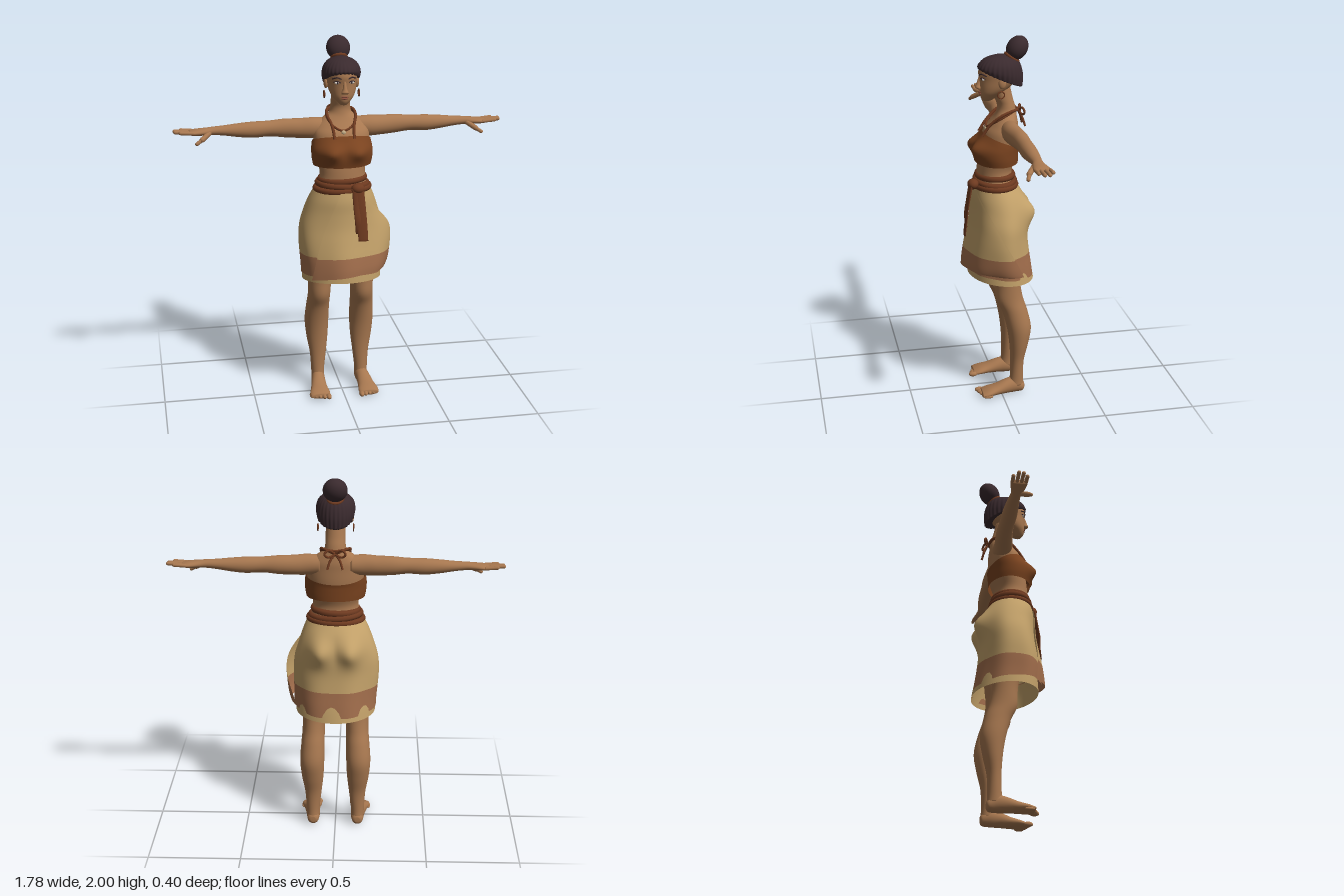
import * as THREE from 'three';

const V = (x, y, z) => new THREE.Vector3(x, y, z);
const bump = (v, mid, width) => Math.exp(-(((v - mid) / width) ** 2));

// Smooth interpolation through rows of numbers
function sample(rows, u) {
  const n = rows.length - 1, i = Math.min(Math.floor(u), n - 1), k = u - i;
  const [p, q, r, s] = [-1, 0, 1, 2].map(d => rows[Math.min(n, Math.max(0, i + d))]);
  return q.map((_, j) => q[j] + 0.5 * k * (r[j] - p[j] + k * (2 * p[j] - 5 * q[j] + 4 * r[j] - s[j]
    + k * (3 * (q[j] - r[j]) + s[j] - p[j]))));
}

// Elliptic sections [t, centreA, centreB, radiusA, radiusB] swept along one axis
function loft(rows, { axis = 'y', seg = 32, per = 5, u0 = 0, u1 = rows.length - 1, arc, deform, caps = true } = {}) {
  const pos = [], idx = [], steps = Math.round((u1 - u0) * per), cols = arc ? seg + 1 : seg;
  const flip = (axis !== 'y') !== (rows[rows.length - 1][0] < rows[0][0]);
  const tri = (a, b, c) => flip ? idx.push(a, c, b) : idx.push(a, b, c);
  for (let i = 0; i <= steps; i++) {
    const [t, a, b, ra, rb] = sample(rows, u0 + (u1 - u0) * i / steps);
    const [from, to] = arc ? arc(t) : [0, Math.PI * 2];
    for (let j = 0; j < cols; j++) {
      const th = from + (to - from) * j / seg;
      const A = a + ra * Math.cos(th), B = b + rb * Math.sin(th);
      const p = axis === 'y' ? V(A, t, B) : axis === 'x' ? V(t, A, B) : V(A, B, t);
      if (deform) deform(p, th);
      pos.push(p.x, p.y, p.z);
    }
  }
  for (let i = 0; i < steps; i++) for (let j = 0; j < seg; j++) {
    const k = arc ? j + 1 : (j + 1) % seg, a = i * cols + j, b = i * cols + k;
    tri(a, a + cols, b);
    tri(b, a + cols, b + cols);
  }
  if (caps && !arc) for (const end of [0, steps]) {
    const c = V(0, 0, 0), id = pos.length / 3;
    for (let j = 0; j < seg; j++) c.add(V(...pos.slice((end * seg + j) * 3, (end * seg + j) * 3 + 3)));
    c.divideScalar(seg);
    pos.push(c.x, c.y, c.z);
    for (let j = 0; j < seg; j++) {
      const a = end * seg + j, b = end * seg + (j + 1) % seg;
      end ? tri(a, id, b) : tri(a, b, id);
    }
  }
  const g = new THREE.BufferGeometry();
  g.setAttribute('position', new THREE.Float32BufferAttribute(pos, 3));
  g.setIndex(idx);
  g.computeVertexNormals();
  return g;
}

const tube = (pts, r, closed = false) =>
  new THREE.TubeGeometry(new THREE.CatmullRomCurve3(pts.map(p => V(...p)), closed), closed ? 64 : 24, r, 8, closed);
const ball = (x, y, z, rx, ry, rz) => new THREE.SphereGeometry(1, 24, 16).scale(rx, ry, rz).translate(x, y, z);
function finger(a, b, r) {
  const d = b.clone().sub(a), g = new THREE.CapsuleGeometry(r, d.length(), 4, 10);
  g.applyQuaternion(new THREE.Quaternion().setFromUnitVectors(V(0, 1, 0), d.clone().normalize()));
  return g.translate((a.x + b.x) / 2, (a.y + b.y) / 2, (a.z + b.z) / 2);
}

export function createModel() {
  const model = new THREE.Group();
  const mat = (name, color, side = THREE.FrontSide) => {
    const m = new THREE.MeshStandardMaterial({ color, side });
    m.name = name;
    return m;
  };
  const both = THREE.DoubleSide;
  const skin = mat('skin', 0xa87850), hair = mat('hair', 0x3a2a2e), top = mat('topCloth', 0x7a431f, both);
  const belt = mat('beltCloth', 0x6e3a20), tan = mat('tanCloth', 0xc4a26a, both), border = mat('borderCloth', 0xa26e4c, both);
  const lip = mat('lips', 0x8c4f3e), white = mat('eyeWhite', 0xd8cfc4), bone = mat('pendant', 0xcbb48c);
  const add = (name, geo, material) => {
    const m = new THREE.Mesh(geo, material);
    m.name = name;
    model.add(m);
    return m;
  };
  const pair = (name, geo, material) => {
    add(name + 'Left', geo, material);
    const g = geo.clone().scale(-1, 1, 1), ix = g.index.array;
    for (let i = 0; i < ix.length; i += 3) [ix[i], ix[i + 1]] = [ix[i + 1], ix[i]];
    add(name + 'Right', g, material);
  };

  // Torso and neck
  add('torso', loft([[1.15, 0, 0, .14, .1], [1.22, 0, .01, .135, .1], [1.29, 0, .015, .122, .093], [1.36, 0, 0, .135, .1],
    [1.43, 0, -.01, .148, .1], [1.5, 0, -.02, .15, .09], [1.54, 0, -.035, .135, .075], [1.575, 0, -.045, .1, .06],
    [1.605, 0, -.05, .062, .052], [1.64, 0, -.048, .053, .047], [1.68, 0, -.035, .052, .048], [1.74, 0, -.02, .05, .05]], { seg: 40 }), skin);

  // Arms and hands
  pair('arm', loft([[.08, 1.525, -.05, .05, .05], [.15, 1.523, -.048, .056, .05], [.22, 1.522, -.055, .053, .048],
    [.3, 1.524, -.062, .05, .044], [.38, 1.525, -.063, .042, .04], [.47, 1.522, -.063, .043, .041], [.55, 1.523, -.063, .036, .037],
    [.62, 1.525, -.062, .027, .031], [.68, 1.526, -.06, .022, .027], [.72, 1.524, -.058, .02, .033],
    [.77, 1.522, -.06, .017, .042], [.805, 1.521, -.06, .011, .042]], { axis: 'x' }), skin);
  [[-.094, .845], [-.072, .88], [-.049, .877], [-.027, .85]].forEach(([z, tip], i) =>
    pair('finger' + (i + 1), finger(V(.785, 1.523, z), V(tip, 1.528, z * 1.05 + .002), .01), skin));
  pair('thumbBase', finger(V(.70, 1.518, -.04), V(.74, 1.492, -.006), .014), skin);
  pair('thumbTip', finger(V(.74, 1.492, -.006), V(.768, 1.474, .004), .01), skin);

  // Legs, feet and toes
  pair('leg', loft([[.05, .125, -.085, .036, .042], [.1, .125, -.087, .037, .037], [.2, .123, -.09, .046, .038],
    [.3, .126, -.098, .06, .052], [.4, .128, -.098, .067, .067], [.5, .124, -.075, .064, .07], [.58, .12, -.045, .062, .075],
    [.68, .117, -.035, .066, .07], [.8, .112, -.03, .078, .085], [.98, .1, -.02, .09, .1]]), skin);
  pair('foot', loft([[-.13, .125, .035, .015, .016], [-.118, .125, .036, .03, .032], [-.08, .125, .046, .037, .046],
    [-.03, .13, .042, .04, .042], [.03, .135, .03, .046, .03], [.08, .138, .022, .056, .022], [.115, .138, .016, .052, .014]],
  { axis: 'z', deform: p => { p.y = Math.max(0, p.y); } }), skin);
  for (let i = 0; i < 5; i++)
    pair('toe' + (i + 1), ball(.094 + .023 * i, .015 - .001 * i, .12 - .009 * i, .015 - .001 * i, .014 - .001 * i, .026), skin);

  // Head and face
  add('head', loft([[1.666, 0, .052, .018, .022], [1.685, 0, .044, .037, .043], [1.71, 0, .03, .058, .062], [1.74, 0, .01, .072, .083],
    [1.78, 0, -.008, .08, .102], [1.82, 0, -.012, .084, .11], [1.86, 0, -.015, .08, .1], [1.89, 0, -.015, .055, .07]], { seg: 40 }), skin);
  add('nose', loft([[1.728, 0, .094, .016, .006], [1.738, 0, .099, .02, .017], [1.755, 0, .097, .012, .014],
    [1.785, 0, .091, .008, .009], [1.802, 0, .09, .007, .004]], { seg: 20 }), skin);
  add('upperLip', ball(0, 1.713, .086, .021, .005, .011), lip);
  add('lowerLip', ball(0, 1.704, .085, .019, .006, .011), lip);
  pair('eye', ball(.037, 1.787, .081, .016, .007, .007), white);
  pair('iris', ball(.037, 1.787, .084, .006, .006, .006), hair);
  pair('upperLid', tube([[.02, 1.788, .09], [.037, 1.796, .086], [.055, 1.789, .07]], .0028), hair);
  pair('eyebrow', tube([[.017, 1.808, .095], [.038, 1.815, .087], [.062, 1.806, .064]], .0035), hair);
  pair('ear', ball(.083, 1.772, -.012, .012, .03, .02), skin);
  pair('earring', new THREE.TorusGeometry(.018, .0035, 8, 24).rotateY(Math.PI / 2).translate(.093, 1.713, -.004), belt);

  // Combed hair and bun
  add('hairCap', loft([[1.785, 0, -.018, .094, .114], [1.82, 0, -.018, .101, .119], [1.86, 0, -.018, .093, .107],
    [1.89, 0, -.02, .066, .078], [1.908, 0, -.022, .02, .022]], {
    seg: 144,
    deform: (p, th) => {
      const w = Math.min(1, Math.max(0, (1.908 - p.y) / .123)), ridge = .0025 * w * Math.cos(28 * th);
      p.y += .43 * w * w * (p.z + .018);
      p.x += ridge * Math.cos(th);
      p.z += ridge * Math.sin(th);
    }
  }), hair);
  const bun = add('hairBun', ball(0, 0, 0, .064, .068, .054), hair);
  bun.position.set(0, 1.938, -.108);
  bun.rotation.x = -.6;
  const tie = add('hairTie', new THREE.TorusGeometry(.038, .009, 8, 32), belt);
  tie.position.set(0, 1.89, -.08);
  tie.rotation.x = Math.PI / 2 - .6;

  // Bandeau top, lower at the back
  add('bandeau', loft([[1.335, 0, .005, .156, .115], [1.38, 0, .008, .163, .119], [1.43, 0, .005, .165, .117],
    [1.47, 0, -.008, .162, .105], [1.5, 0, -.018, .157, .098]], {
    seg: 64, caps: false,
    deform: (p, th) => {
      if (Math.sin(th) > 0) p.z += .034 * bump(Math.abs(p.x), .075, .05) * bump(p.y, 1.42, .045);
      p.y -= .07 * Math.max(0, (p.y - 1.335) / .165) * (.5 - .5 * Math.sin(th));
    }
  }), top);

  // Halter cord, bow and necklace
  pair('halterStrap', tube([[.052, 1.485, .088], [.058, 1.545, .047], [.077, 1.6, -.02], [.058, 1.618, -.085], [0, 1.602, -.114]], .008), belt);
  pair('bowLoop', tube([[0, 1.602, -.116], [.035, 1.625, -.13], [.055, 1.605, -.138], [.035, 1.588, -.132], [0, 1.6, -.118]], .006), belt);
  pair('bowTail', tube([[0, 1.602, -.116], [.025, 1.57, -.132], [.04, 1.525, -.145]], .006), belt);
  add('necklace', tube([[0, 1.525, .058], [.048, 1.545, .042], [.078, 1.59, -.025], [.05, 1.617, -.09], [0, 1.615, -.108],
    [-.05, 1.617, -.09], [-.078, 1.59, -.025], [-.048, 1.545, .042]], .006, true), belt);
  add('necklacePendant', ball(0, 1.517, .062, .012, .012, .007), bone);

  // Wrapped skirt: main wrap, crossing front flap, and lining
  const skirt = [[1.21, 0, .012, .15, .116], [1.15, -.003, 0, .178, .137], [1.08, -.005, -.01, .203, .146], [1, -.005, -.01, .226, .15],
    [.92, -.005, -.005, .232, .158], [.84, -.003, -.003, .229, .17], [.77, 0, -.005, .225, .18], [.72, 0, -.008, .222, .185]];
  const fall = y => Math.min(1, Math.max(0, (1.21 - y) / .49));
  const drape = (p, th) => {
    const w = fall(p.y), wave = .004 * w * Math.cos(7 * th + 1);
    if (Math.sin(th) < 0) p.z -= .046 * bump(Math.abs(p.x), .085, .06) * bump(p.y, 1.06, .07);
    p.x += wave * Math.cos(th);
    p.z += wave * Math.sin(th);
    p.y += w ** 4 * .14 * p.z;
  };
  const flap = (p, th) => {
    const w = fall(p.y), off = .006 + .012 * w + .03 * bump(th, .1, .6) * Math.max(0, Math.sin(Math.PI * w)) ** .7;
    drape(p, th);
    p.x += off * Math.cos(th);
    p.z += off * Math.sin(th);
    p.y += w ** 4 * .1 * p.x;
  };
  const arc = y => {
    const w = fall(y), deg = Math.PI / 180;
    return [(80 - 110 * w ** .6) * deg, (100 + 40 * w) * deg];
  };
  for (const [part, u0, u1, m] of [['Cloth', 0, 5, tan], ['Border', 5, 7, border]]) {
    add('skirt' + part, loft(skirt, { seg: 96, u0, u1, caps: false, deform: drape }), m);
    add('frontFlap' + part, loft(skirt, { seg: 64, u0, u1, arc, deform: flap }), m);
  }
  add('skirtLining', loft([[.82, 0, -.01, .212, .16], [.75, 0, -.014, .216, .172], [.685, 0, -.018, .217, .18]],
    { seg: 64, caps: false, deform: p => { p.y += .09 * p.z; } }), tan);

  // Belt wraps, knot and hanging sash ends
  const ring = (y, rx, rz, tilt) => Array.from({ length: 16 }, (_, i) => {
    const a = i * Math.PI / 8;
    return [rx * Math.cos(a), y + tilt * Math.cos(a), .012 + rz * Math.sin(a)];
  });
  add('beltUpper', tube(ring(1.258, .118, .092, .004), .018, true), belt);
  add('beltMiddle', tube(ring(1.23, .132, .101, -.006), .018, true), belt);
  add('beltLower', tube(ring(1.207, .144, .109, .003), .017, true), belt);
  add('beltKnot', ball(.062, 1.228, .142, .036, .028, .03), belt);
  add('sashLong', loft([[.95, .083, .194, .026, .005], [1.03, .078, .184, .028, .006], [1.12, .07, .172, .03, .007],
    [1.23, .062, .152, .03, .01]], { seg: 20 }), belt);
  add('sashShort', loft([[.99, .06, .18, .016, .005], [1.06, .055, .184, .017, .006], [1.14, .05, .17, .018, .007],
    [1.23, .048, .152, .02, .01]], { seg: 20 }), belt);

  return model;
}
